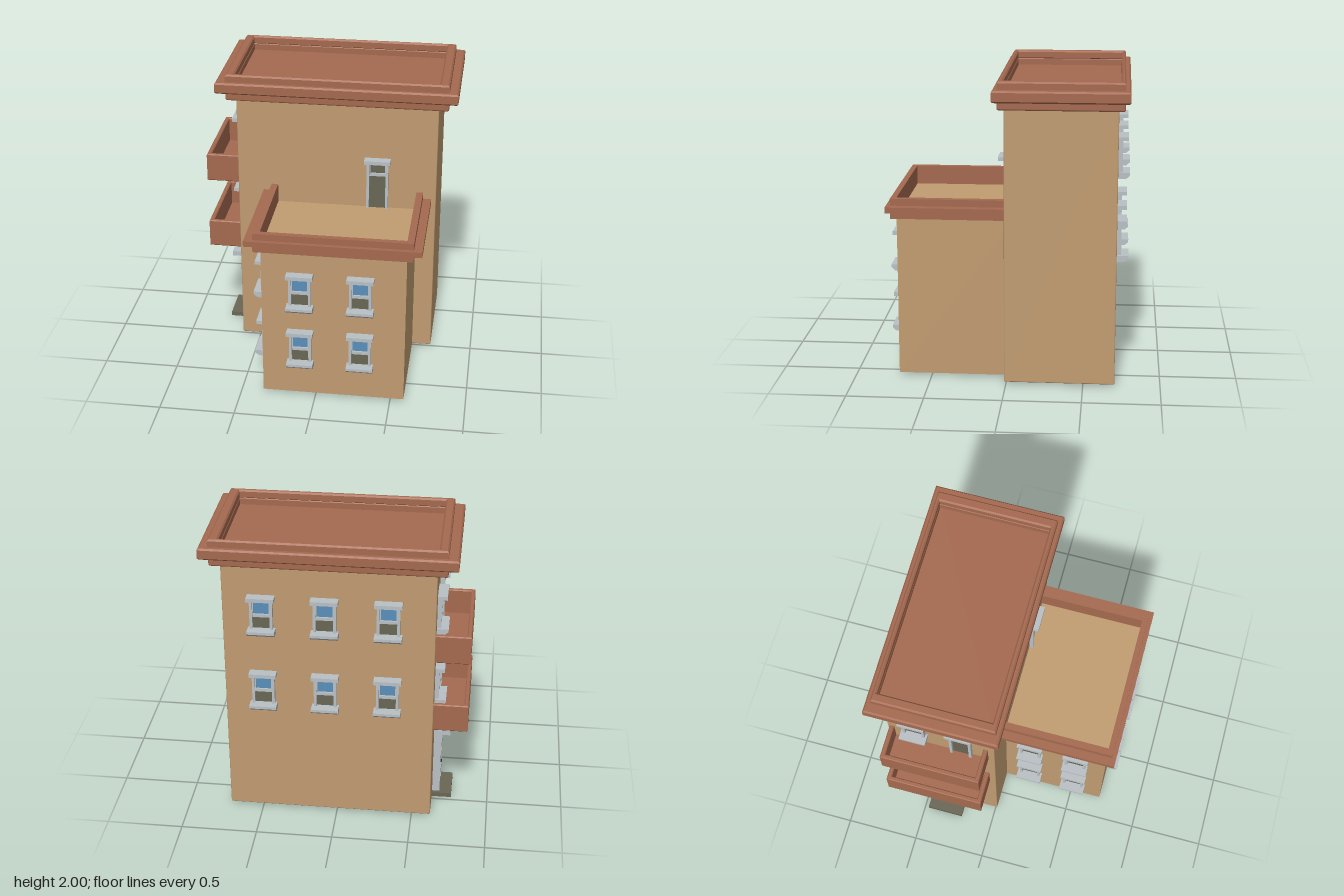
import * as THREE from 'three';
import { RoundedBoxGeometry } from 'three/addons/geometries/RoundedBoxGeometry.js';

const mat = (name, color) => {
  const m = new THREE.MeshStandardMaterial({ color });
  m.name = name;
  return m;
};

export function createModel() {
  const model = new THREE.Group();
  model.name = 'building';
  const wall = mat('tan wall', 0xc19c71);
  const clay = mat('terracotta trim', 0xa5694f);
  const frame = mat('pale grey frame', 0xb9c0c4);
  const glass = mat('blue glass', 0x5a90bb);
  const shade = mat('olive shade', 0x696655);
  const wood = mat('door red brown', 0x8a4b38);
  const metal = mat('dark knob', 0x2e2a27);

  function add(parent, name, geo, material, x = 0, y = 0, z = 0) {
    const m = new THREE.Mesh(geo, material);
    m.name = name;
    m.position.set(x, y, z);
    parent.add(m);
    return m;
  }
  // box from its minimum and maximum corners, optionally with softened edges
  function box(parent, name, material, [x0, x1], [y0, y1], [z0, z1], r = 0) {
    const s = [x1 - x0, y1 - y0, z1 - z0];
    const geo = r ? new RoundedBoxGeometry(...s, 2, r) : new THREE.BoxGeometry(...s);
    return add(parent, name, geo, material, (x0 + x1) / 2, (y0 + y1) / 2, (z0 + z1) / 2);
  }
  // flat outline in x and z, given height, optional hole and bevel
  function slab(parent, name, material, pts, hole, y0, y1, b = 0) {
    const toV = (p) => p.map(([x, z]) => new THREE.Vector2(x, z));
    const shape = new THREE.Shape(toV(pts));
    if (hole) shape.holes.push(new THREE.Path(toV(hole)));
    const geo = new THREE.ExtrudeGeometry(shape, {
      depth: y1 - y0 - 2 * b, bevelEnabled: b > 0, bevelSize: b, bevelThickness: b,
      bevelOffset: -b, bevelSegments: 1,
    });
    geo.rotateX(Math.PI / 2);
    return add(parent, name, geo, material, 0, y1 - b, 0);
  }
  const rect = (x0, x1, z0, z1) => [[x0, z0], [x1, z0], [x1, z1], [x0, z1]];

  // sill with a slanted lower front edge
  const sillShape = new THREE.Shape([[0, 0], [0.05, 0], [0.075, 0.022], [0.075, 0.04], [0, 0.04]]
    .map(([z, y]) => new THREE.Vector2(z, y)));
  const sillGeo = new THREE.ExtrudeGeometry(sillShape, { depth: 0.175, bevelEnabled: false });
  sillGeo.rotateY(-Math.PI / 2).translate(0.0875, 0, 0);

  function place(name, x, y, z, turn) {
    const g = new THREE.Group();
    g.name = name;
    g.position.set(x, y, z);
    g.rotation.y = turn;
    model.add(g);
    return g;
  }
  // sash opening facing local +z; y is the top of its header
  function opening(name, x, top, z, turn, height, isDoor) {
    const g = place(name, x, top, z, turn);
    const low = isDoor ? -height : -height + 0.04;
    const mid = isDoor ? -0.115 : -0.14;
    box(g, 'header', frame, [-0.0875, 0.0875], [-0.025, 0], [0, 0.062]);
    for (const s of [-1, 1]) {
      box(g, 'jamb', frame, [s * 0.064 - 0.009, s * 0.064 + 0.009], [low, -0.025], [0, 0.028]);
      box(g, 'sashStile', frame, [s * 0.053 - 0.004, s * 0.053 + 0.004], [mid, -0.025], [0, 0.014]);
    }
    box(g, 'sashBar', frame, [-0.055, 0.055], [mid - 0.01, mid + 0.01], [0, 0.018]);
    box(g, 'upperPane', isDoor ? shade : glass, [-0.055, 0.055], [mid, -0.025], [0, 0.006]);
    box(g, 'lowerPane', shade, [-0.055, 0.055], [low, mid], [0, 0.008]);
    if (!isDoor) add(g, 'sill', sillGeo, frame, 0, -height, 0);
  }
  const windowAt = (x, top, z, turn) => opening('window', x, top, z, turn, 0.27, false);

  // main tower and low front wing
  box(model, 'tower', wall, [-0.625, 0.72], [0.02, 1.83], [-0.705, 0.012], 0.008);
  box(model, 'frontWing', wall, [-0.352, 0.59], [0.02, 1.085], [-0.05, 0.715]);

  // tower cornice with a sunken roof
  const well = rect(-0.63, 0.72, -0.715, 0.015);
  box(model, 'corniceBase', clay, [-0.69, 0.785], [1.82, 1.9], [-0.744, 0.05], 0.012);
  slab(model, 'corniceBand', clay, rect(-0.755, 0.845, -0.777, 0.08), well, 1.875, 1.95, 0.01);
  slab(model, 'corniceTop', clay, rect(-0.69, 0.785, -0.744, 0.05), well, 1.94, 2, 0.01);

  // three-sided parapet around the wing terrace
  for (const [name, o, y0, y1] of [['parapetBase', 0.045, 1.08, 1.13],
    ['parapetBand', 0.1, 1.13, 1.167], ['parapetTop', 0.045, 1.167, 1.212]]) {
    const front = o > 0.05 ? 0.777 : 0.75;
    slab(model, name, clay, [[-0.352 - o, 0.012], [-0.352 - o, front], [0.588 + o, front],
      [0.588 + o, 0.012], [0.588, 0.012], [0.588, 0.713], [-0.352, 0.713], [-0.352, 0.012]],
    null, y0, y1);
  }

  // wing windows
  const right = -Math.PI / 2;
  for (const top of [0.93, 0.507]) for (const x of [-0.098, 0.297]) windowAt(x, top, 0.715, 0);
  for (const top of [0.93, 0.477]) for (const z of [0.51, 0.19]) windowAt(-0.352, top, z, right);

  // rear windows
  for (const top of [1.62, 1.073]) {
    for (const x of [-0.33, 0.07, 0.47]) windowAt(x, top, -0.705, Math.PI);
  }

  // terrace door
  opening('terraceDoor', 0.325, 1.447, 0.012, 0, 0.362, true);

  // balconies, each with a window and a door
  for (const y of [1.19, 0.685]) {
    slab(model, 'balconyRail', clay, [[-0.615, -0.69], [-0.85, -0.69], [-0.85, -0.03], [-0.615, -0.03],
      [-0.615, -0.06], [-0.82, -0.06], [-0.82, -0.66], [-0.615, -0.66]], null, y, y + 0.195, 0.006);
    box(model, 'balconyFloor', clay, [-0.83, -0.615], [y + 0.002, y + 0.025], [-0.67, -0.05]);
    const top = y > 1 ? 1.62 : 1.097;
    windowAt(-0.625, top, -0.52, right);
    opening('balconyDoor', -0.625, top, -0.21, right, top - y - 0.025, true);
  }

  // street entrance
  const entry = place('entrance', -0.625, 0, -0.347, right);
  box(entry, 'doorStep', shade, [-0.125, 0.125], [0.004, 0.034], [-0.03, 0.13]);
  box(entry, 'doorHeader', frame, [-0.113, 0.113], [0.5, 0.535], [0, 0.11]);
  for (const s of [-1, 1]) {
    box(entry, 'doorJamb', frame, [s * 0.085 - 0.016, s * 0.085 + 0.016], [0.034, 0.5], [0, 0.05]);
  }
  box(entry, 'doorLintel', frame, [-0.07, 0.07], [0.475, 0.5], [0, 0.04]);
  box(entry, 'doorLeaf', wood, [-0.07, 0.07], [0.034, 0.476], [0, 0.03]);
  add(entry, 'doorKnob', new THREE.SphereGeometry(0.012, 12, 8), metal, 0.045, 0.185, 0.045);

  return model;
}
